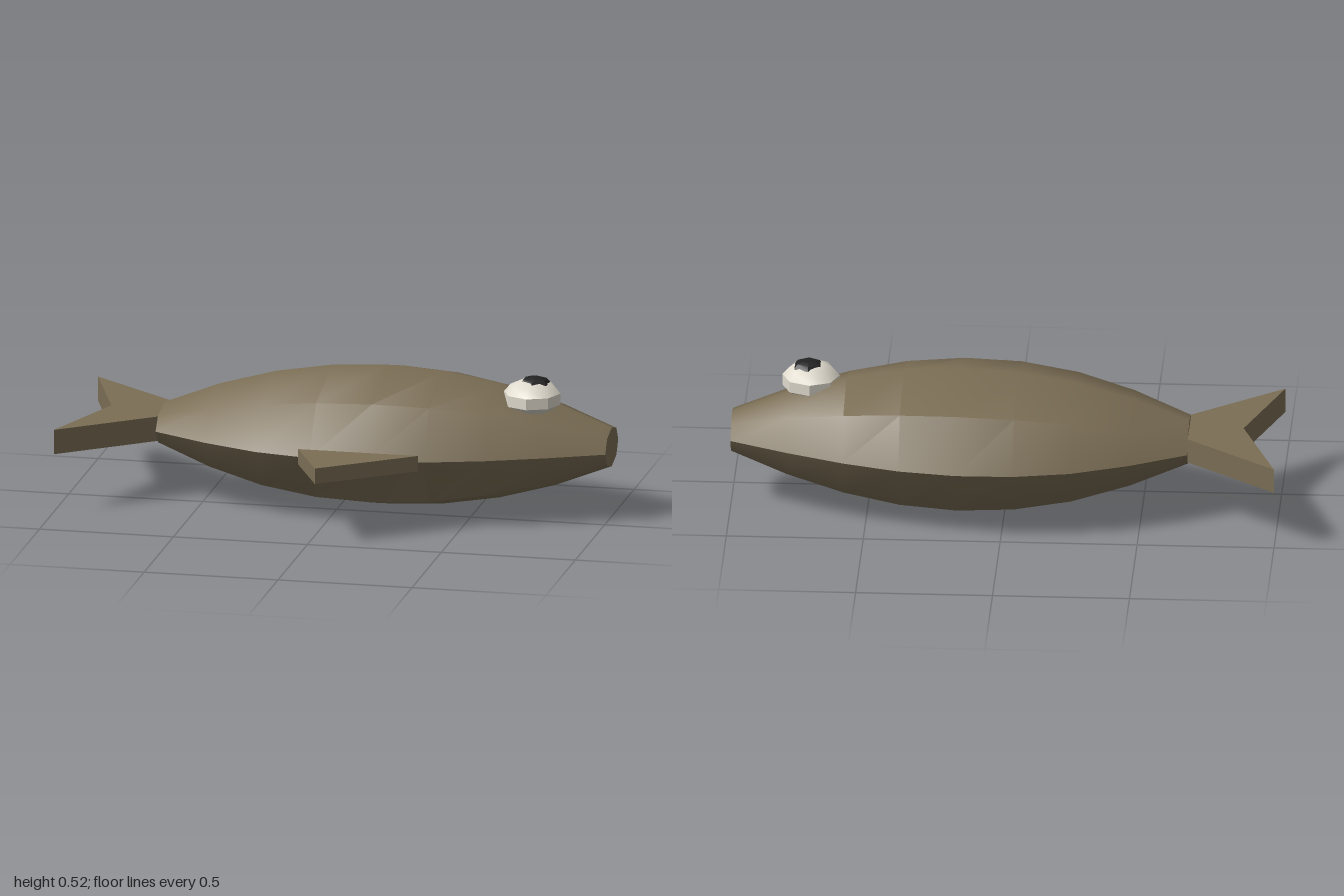
import * as THREE from 'three';
import { toCreasedNormals } from 'three/addons/utils/BufferGeometryUtils.js';

const CY = 0.264, CZ = -0.121, SIDES = 8;

// Tapered eight-sided body lofted along x, with flat ends
function bodyGeometry() {
  const widths = [0.15, 0.263, 0.348, 0.388, 0.391, 0.36, 0.296, 0.21, 0.111];
  const rings = widths.length;
  const pos = [], idx = [];
  widths.forEach((w, i) => {
    const t = i / (rings - 1);
    const h = 0.073 + 0.189 * (1 - (2 * t - 1) ** 2);
    for (let j = 0; j < SIDES; j++) {
      const a = (j / SIDES) * Math.PI * 2;
      pos.push(-0.67 + 1.67 * t, CY + h * Math.sin(a), CZ + w * Math.cos(a));
    }
  });
  for (let i = 0; i < rings - 1; i++) {
    for (let j = 0; j < SIDES; j++) {
      const a = i * SIDES + j, b = i * SIDES + (j + 1) % SIDES;
      idx.push(a, a + SIDES, b + SIDES, a, b + SIDES, b);
    }
  }
  const last = (rings - 1) * SIDES;
  for (let j = 1; j < SIDES - 1; j++) {
    idx.push(0, j, j + 1);
    idx.push(last, last + j + 1, last + j);
  }
  const g = new THREE.BufferGeometry();
  g.setAttribute('position', new THREE.Float32BufferAttribute(pos, 3));
  g.setIndex(idx);
  return toCreasedNormals(g, THREE.MathUtils.degToRad(42.5));
}

// Flat fin outlined in (x, z) between two heights
function finGeometry(points, bottom, top) {
  const shape = new THREE.Shape(points.map(p => new THREE.Vector2(p[0], p[1])));
  const g = new THREE.ExtrudeGeometry(shape, { depth: top - bottom, bevelEnabled: false });
  return g.rotateX(Math.PI / 2).translate(0, top, 0);
}

// Low-sided turned shape with a (radius, height) profile
function turned(profile, sides, crease) {
  const g = new THREE.LatheGeometry(profile.map(p => new THREE.Vector2(p[0], p[1])), sides);
  return toCreasedNormals(g, THREE.MathUtils.degToRad(crease));
}

export function createModel() {
  const skin = new THREE.MeshStandardMaterial({ color: 0x7b6e55 });
  skin.name = 'olive brown';
  const white = new THREE.MeshStandardMaterial({ color: 0xe0dbce });
  white.name = 'eye white';
  const black = new THREE.MeshStandardMaterial({ color: 0x222222 });
  black.name = 'pupil black';

  const model = new THREE.Group();
  model.name = 'flatfish';
  const add = (name, geometry, material) => {
    const mesh = new THREE.Mesh(geometry, material);
    mesh.name = name;
    model.add(mesh);
    return mesh;
  };

  add('body', bodyGeometry(), skin);

  // Forked tail and the single side fin
  add('tailFin', finGeometry(
    [[-1, -0.5], [-0.67, -0.235], [-0.67, -0.005], [-1, 0.256], [-0.868, -0.121]], 0.22, 0.312), skin);
  add('sideFin', finGeometry([[-0.087, 0.26], [0.36, 0.26], [0.03, 0.511]], 0.236, 0.294), skin);

  // Eye with a dark domed pupil on top
  const eye = add('eye', turned(
    [[0, 0.39], [0.065, 0.398], [0.105, 0.426], [0.105, 0.467], [0.08, 0.495], [0.045, 0.511], [0, 0.516]], 8, 38), white);
  eye.position.set(0.714, 0, -0.074);
  const pupil = add('pupil', turned(
    [[0, 0.48], [0.05, 0.482], [0.058, 0.503], [0.045, 0.517], [0.02, 0.525], [0, 0.526]], 6, 40), black);
  pupil.position.set(0.723, 0, -0.077);

  return model;
}
